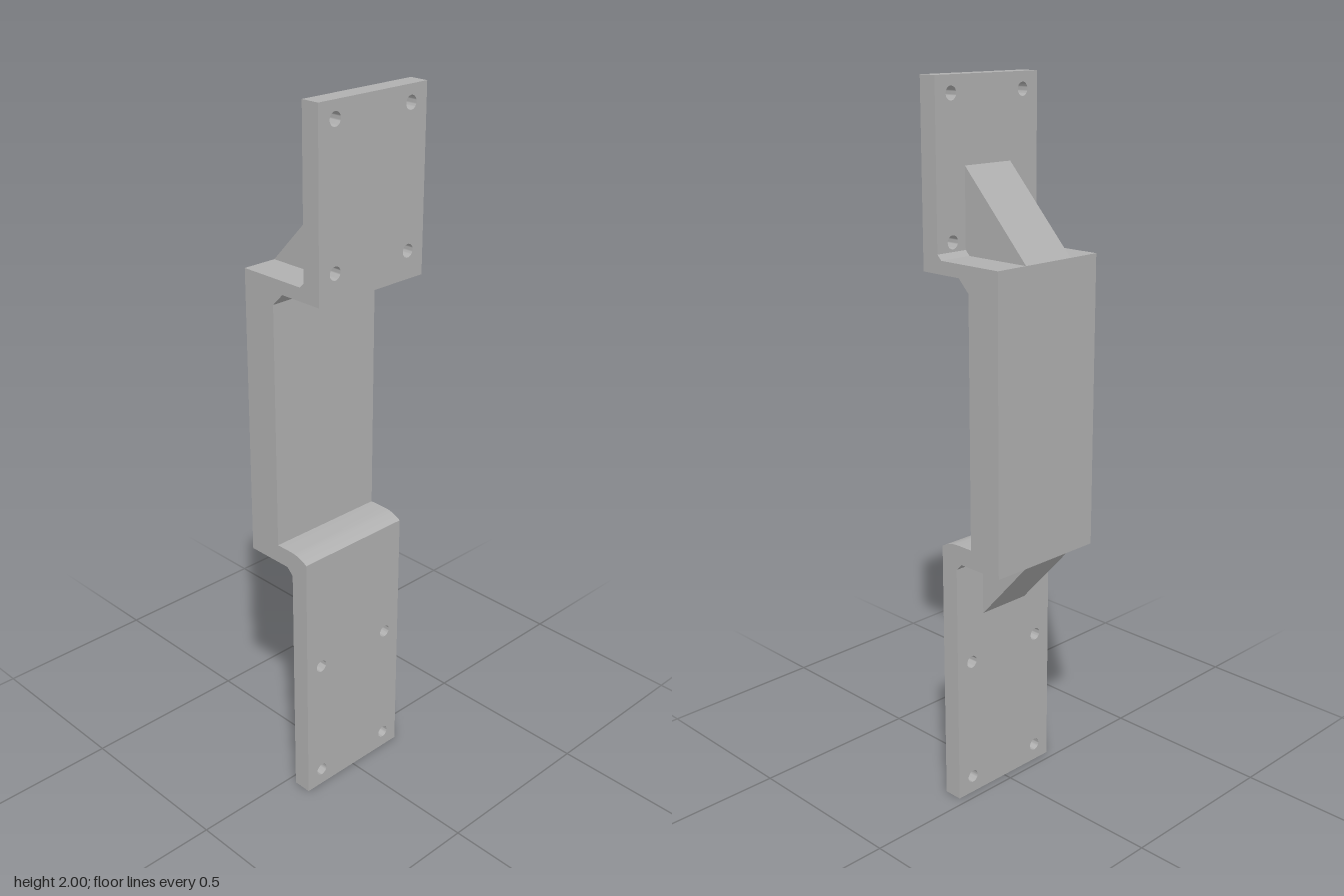
import * as THREE from 'three';
import { toCreasedNormals } from 'three/addons/utils/BufferGeometryUtils.js';

const HALF_WIDTH = 0.181;
const HOLE_Z = 0.127;
const HOLE_RADIUS = 0.018;

export function createModel() {
  const group = new THREE.Group();
  const grey = new THREE.MeshStandardMaterial({ color: 0xb0b0b0 });
  grey.name = 'plain grey';

  const add = (name, geometry) => {
    const mesh = new THREE.Mesh(toCreasedNormals(geometry, 0.6), grey);
    mesh.name = name;
    group.add(mesh);
  };

  // Side profile in x/y, extruded across z
  const addProfile = (name, shape, z0, z1) => {
    const geometry = new THREE.ExtrudeGeometry(shape, { depth: z1 - z0, bevelEnabled: false, curveSegments: 8 });
    add(name, geometry.translate(0, 0, z0));
  };

  // Upright plate in z/y with a pair of screw holes at each given height
  const addPlate = (name, x0, x1, y0, y1, holeHeights) => {
    const shape = new THREE.Shape([
      [-HALF_WIDTH, y0], [HALF_WIDTH, y0], [HALF_WIDTH, y1], [-HALF_WIDTH, y1],
    ].map(([z, y]) => new THREE.Vector2(z, y)));
    for (const y of holeHeights) {
      for (const side of [-1, 1]) {
        shape.holes.push(new THREE.Path().absarc(side * HOLE_Z, y, HOLE_RADIUS, 0, Math.PI * 2, true));
      }
    }
    const geometry = new THREE.ExtrudeGeometry(shape, { depth: x1 - x0, bevelEnabled: false, curveSegments: 16 });
    add(name, geometry.rotateY(Math.PI / 2).translate(x0, 0, 0));
  };

  // Offset grip with chamfered inner corners and a rounded lower shoulder
  const grip = new THREE.Shape();
  grip.moveTo(-0.137, 0.73);
  grip.lineTo(0.005, 0.73);
  grip.lineTo(0.025, 0.71);
  grip.lineTo(0.08, 0.71);
  grip.lineTo(0.08, 0.765);
  grip.quadraticCurveTo(0.053, 0.782, 0.022, 0.783);
  grip.lineTo(-0.032, 0.783);
  grip.lineTo(-0.032, 1.475);
  grip.lineTo(0.003, 1.51);
  grip.lineTo(0.135, 1.51);
  grip.lineTo(0.135, 1.56);
  grip.lineTo(0.081, 1.56);
  grip.lineTo(0.067, 1.546);
  grip.lineTo(-0.137, 1.546);
  grip.closePath();
  addProfile('grip', grip, -HALF_WIDTH, HALF_WIDTH);

  // Mounting plates
  addPlate('upperPlate', 0.081, 0.135, 1.56, 2, [1.585, 1.955]);
  addPlate('lowerPlate', 0.025, 0.08, 0, 0.71, [0.05, 0.415]);

  // Triangular gussets
  const triangle = (points) => new THREE.Shape(points.map(([x, y]) => new THREE.Vector2(x, y)));
  addProfile('upperGusset', triangle([[-0.137, 1.546], [0.081, 1.546], [0.081, 1.775]]), -0.082, 0.081);
  addProfile('lowerGusset', triangle([[-0.137, 0.73], [0.025, 0.55], [0.025, 0.73]]), -0.082, 0.081);

  return group;
}
